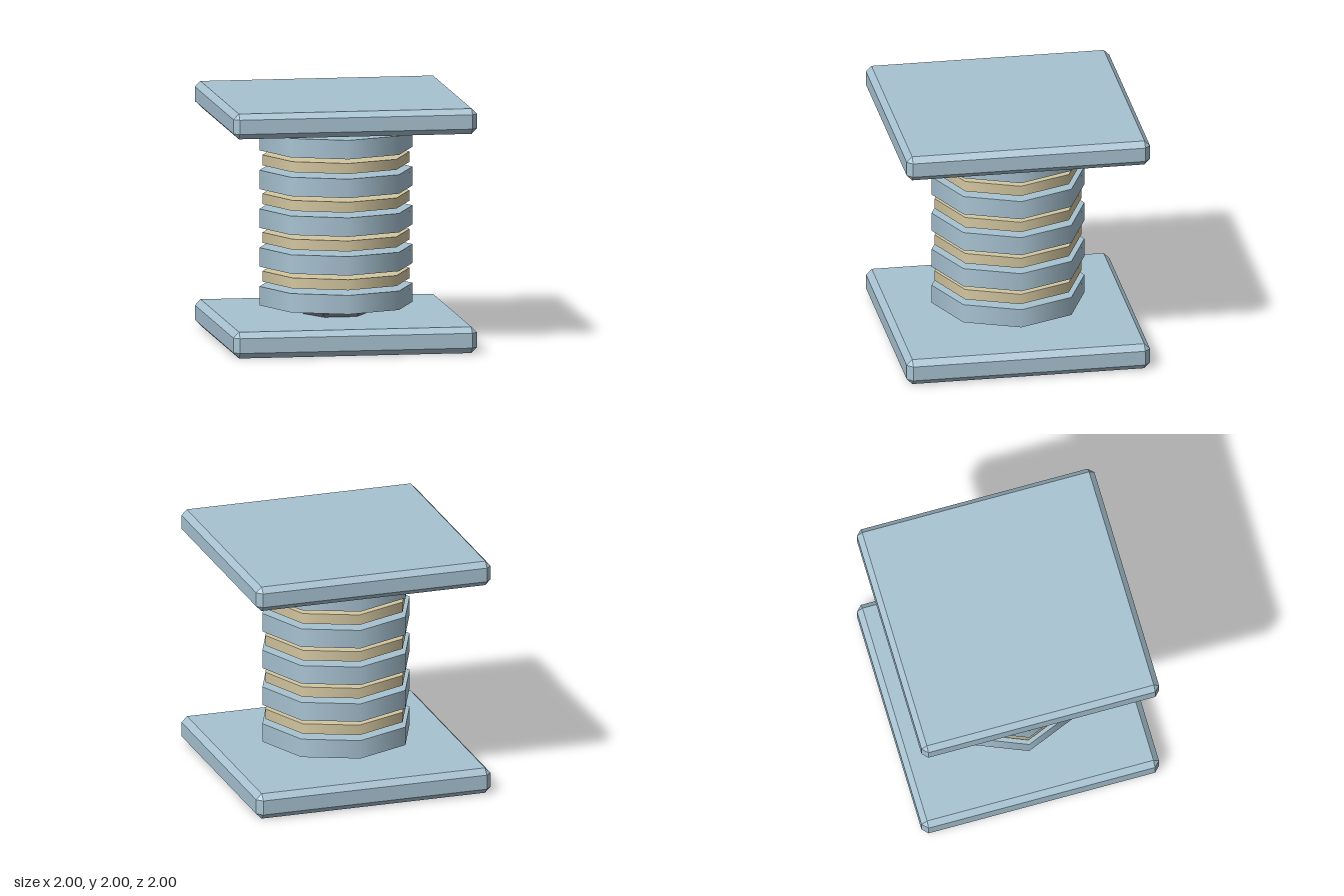
import * as THREE from 'three';
import { ConvexGeometry } from 'three/addons/geometries/ConvexGeometry.js';

function material(name, color, flat) {
  const m = new THREE.MeshStandardMaterial({ color, flatShading: flat });
  m.name = name;
  return m;
}

// Box whose twelve edges are all cut by a single chamfer
function chamferBox(w, h, d, c) {
  const points = [];
  for (const x of [-w / 2, w / 2]) for (const y of [-h / 2, h / 2]) for (const z of [-d / 2, d / 2]) {
    const ix = x - Math.sign(x) * c, iy = y - Math.sign(y) * c, iz = z - Math.sign(z) * c;
    points.push(new THREE.Vector3(x, iy, iz), new THREE.Vector3(ix, y, iz), new THREE.Vector3(ix, iy, z));
  }
  return new ConvexGeometry(points);
}

// Six-sided column with corners on the x axis, from [radius, height] pairs
function hexColumn(profile) {
  const points = profile.map(([r, y]) => new THREE.Vector2(r, y));
  return new THREE.LatheGeometry(points, 6, Math.PI / 2);
}

export function createModel() {
  const group = new THREE.Group();
  const blue = material('pale blue', 0xa8c3d2, false);
  const tan = material('sand', 0xd3c6a0, false);
  const slate = material('slate', 0x8a8b9e, true);
  const silver = material('silver', 0xc6c5ca, true);
  const gold = material('gold', 0xd4a843, true);

  const add = (name, geometry, mat, y = 0, z = 0) => {
    const mesh = new THREE.Mesh(geometry, mat);
    mesh.name = name;
    mesh.position.set(0, y, z);
    group.add(mesh);
  };

  // End plates
  add('basePlate', chamferBox(2, 0.215, 2, 0.047), blue, 0.1075);
  add('topPlate', chamferBox(2, 0.207, 2, 0.045), blue, 1.8965);

  // Stepped core: thick sleeve and thin rod with chamfered ends
  add('lowerSleeve', hexColumn([[0, 0.2], [0.25, 0.2], [0.297, 0.247], [0.297, 0.89], [0.24, 0.945], [0, 0.945]]), slate);
  add('upperRod', hexColumn([[0, 0.9], [0.158, 0.9], [0.158, 1.742], [0.1, 1.81], [0, 1.81]]), silver);

  // Indicator strip on the front of the sleeve
  add('frontStrip', chamferBox(0.16, 0.6, 0.08, 0.017), gold, 0.55, 0.263);

  // Alternating coil rings, eight-sided with corners on the axes
  const wide = new THREE.CylinderGeometry(0.628, 0.628, 0.155, 8);
  const narrow = new THREE.CylinderGeometry(0.603, 0.603, 0.086, 8);
  for (let i = 0; i < 5; i++) {
    add('coilRing' + (i + 1), wide, blue, 0.37 + i * 0.317);
    if (i < 4) add('spacerRing' + (i + 1), narrow, tan, 0.529 + i * 0.317);
  }
  return group;
}
